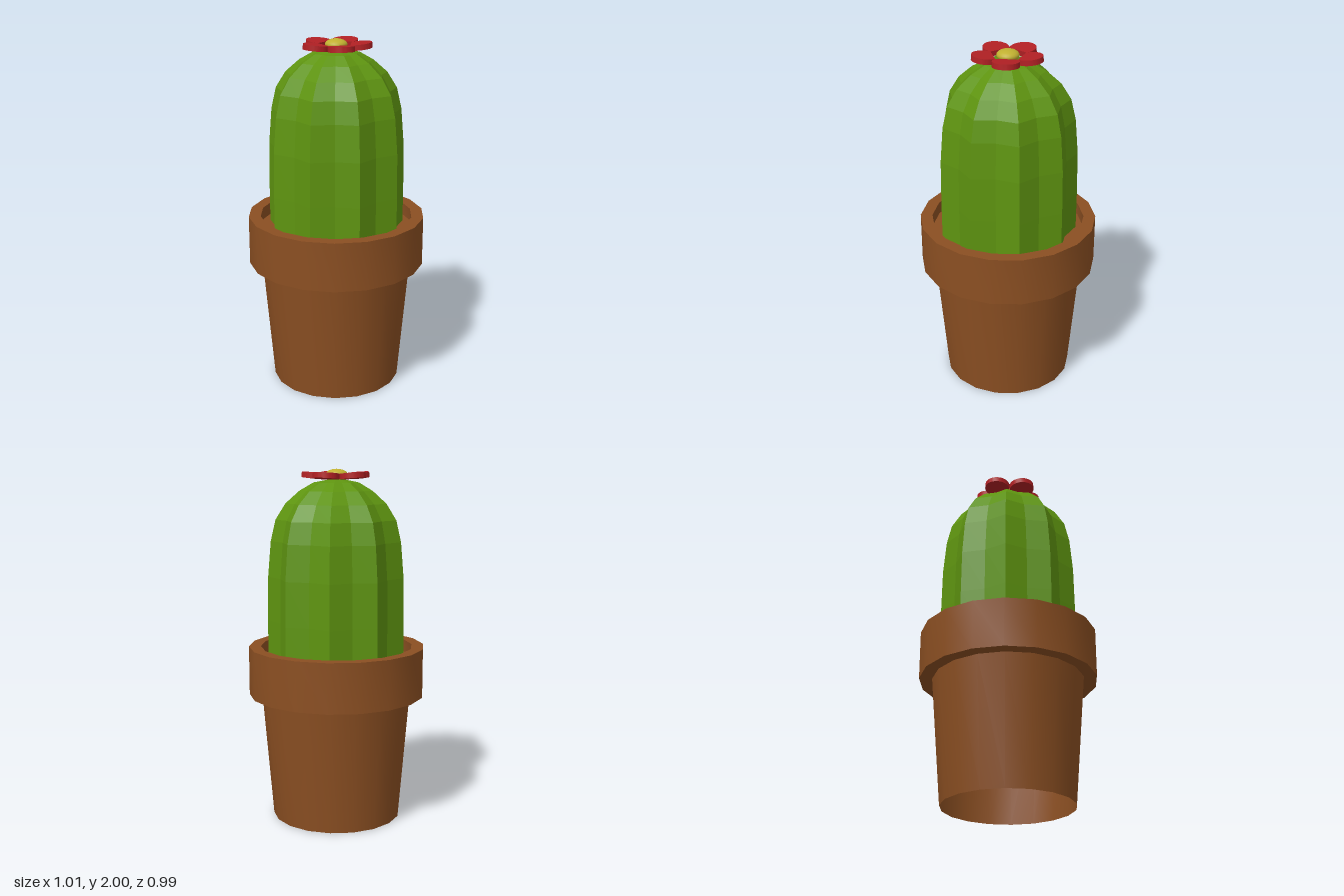
import * as THREE from 'three';
import { toCreasedNormals } from 'three/addons/utils/BufferGeometryUtils.js';

const SIDES = 18;

function material(name, color, extra = {}) {
  const m = new THREE.MeshStandardMaterial({ color, ...extra });
  m.name = name;
  return m;
}

function lathe(profile) {
  const points = profile.map(([r, y]) => new THREE.Vector2(r, y));
  return new THREE.LatheGeometry(points, SIDES, Math.PI / 2);
}

function add(parent, name, geometry, mat) {
  const mesh = new THREE.Mesh(geometry, mat);
  mesh.name = name;
  parent.add(mesh);
  return mesh;
}

// Teardrop outline: a point at the flower's middle widening into a round tip
function petalGeometry(distance, radius, depth) {
  const a = Math.asin(radius / distance);
  const shape = new THREE.Shape();
  shape.moveTo(0, 0);
  shape.absarc(distance, 0, radius, -Math.PI / 2 - a, Math.PI / 2 + a, false);
  shape.closePath();
  const g = new THREE.ExtrudeGeometry(shape, { depth, bevelEnabled: false, curveSegments: 20 });
  g.rotateX(-Math.PI / 2);
  return toCreasedNormals(g, 0.6);
}

export function createModel() {
  const model = new THREE.Group();
  model.name = 'pottedCactus';
  const clay = material('terracotta', 0x8b4f22, { side: THREE.DoubleSide });
  const green = material('cactusGreen', 0x5e9410, { flatShading: true });
  const red = material('petalRed', 0xb22024);
  const yellow = material('flowerYellow', 0xc0b030);

  // Tapered pot wall, open below
  add(model, 'potWall', toCreasedNormals(lathe([[0.37, 0], [0.43, 0.72]]), 0.6), clay);

  // Thick collar round the top
  add(model, 'potRim', toCreasedNormals(lathe([
    [0.43, 0.72], [0.503, 0.72], [0.503, 1], [0.435, 1], [0.435, 0.93],
  ]), 0.6), clay);

  // Soil just below the lip
  const soil = new THREE.CircleGeometry(0.435, SIDES).rotateX(-Math.PI / 2);
  soil.translate(0, 0.93, 0);
  add(model, 'soil', soil, clay);

  // Cactus body: every second column is pulled in to form nine ribs
  const profile = [
    [0.392, 0.92], [0.392, 1.15], [0.388, 1.4], [0.371, 1.6], [0.343, 1.72],
    [0.287, 1.81], [0.208, 1.88], [0.13, 1.925], [0, 1.95],
  ];
  const body = lathe(profile);
  const pos = body.attributes.position;
  for (let i = 0; i < pos.count; i++) {
    if (Math.floor(i / profile.length) % 2 === 1) {
      pos.setX(i, pos.getX(i) * 0.88);
      pos.setZ(i, pos.getZ(i) * 0.88);
    }
  }
  body.computeVertexNormals();
  add(model, 'cactusBody', body, green);

  // Flower: five petals tilted up at the tips
  const flower = new THREE.Group();
  flower.name = 'flower';
  flower.position.y = 1.935;
  model.add(flower);
  const petal = petalGeometry(0.127, 0.073, 0.03);
  petal.rotateZ(0.1);
  for (let i = 0; i < 5; i++) {
    const mesh = add(flower, 'petal', petal, red);
    mesh.rotation.y = Math.PI / 2 + (i * Math.PI * 2) / 5;
  }

  // Flattened dome in the middle
  const dome = new THREE.SphereGeometry(0.062, 24, 12);
  dome.scale(1, 0.5, 1);
  add(flower, 'flowerCentre', dome, yellow).position.y = 0.034;

  return model;
}
